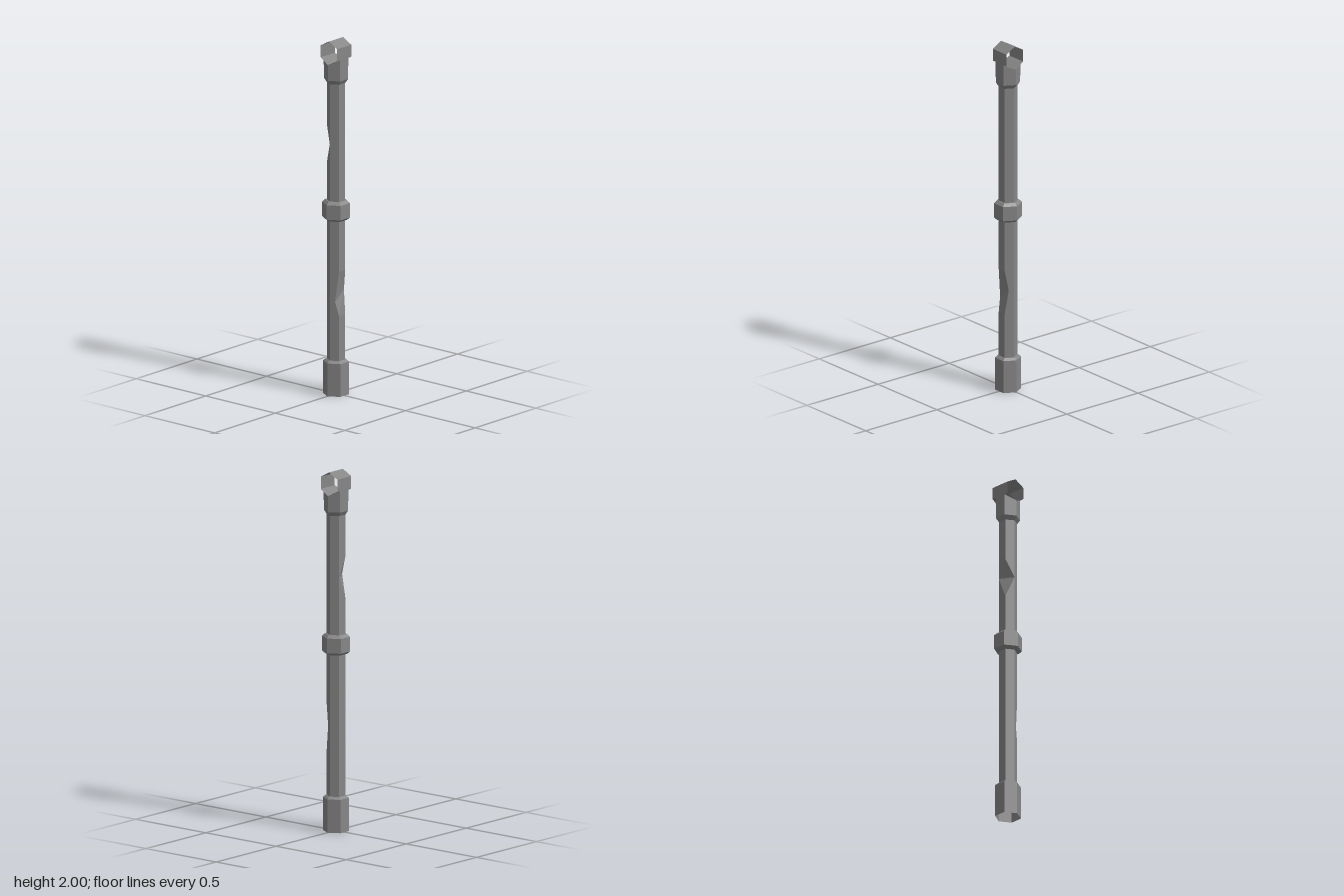
import * as THREE from 'three';

const material = new THREE.MeshStandardMaterial({ color: 0x868686, flatShading: true, side: THREE.DoubleSide });

// Six-sided ring with corners on the x axis
function hexRing(radius, y) {
  return Array.from({ length: 6 }, (_, k) => {
    const a = (k * Math.PI) / 3;
    return new THREE.Vector3(radius * Math.cos(a), y, radius * Math.sin(a));
  });
}

// Skin between successive rings; each quad is split along its outermost diagonal
function loft(rings) {
  const pts = [];
  const midRadius = (p, q) => Math.hypot(p.x + q.x, p.z + q.z);
  for (let i = 0; i + 1 < rings.length; i++) {
    const n = rings[i].length;
    for (let k = 0; k < n; k++) {
      const j = (k + 1) % n;
      const a1 = rings[i][k], b1 = rings[i][j];
      const a2 = rings[i + 1][k], b2 = rings[i + 1][j];
      if (midRadius(b1, a2) > midRadius(a1, b2)) pts.push(b1, a1, a2, b1, a2, b2);
      else pts.push(b1, a1, b2, a1, a2, b2);
    }
  }
  const geometry = new THREE.BufferGeometry().setFromPoints(pts);
  geometry.computeVertexNormals();
  return geometry;
}

const hexLoft = (profile) => loft(profile.map(([r, y]) => hexRing(r, y)));

export function createModel() {
  const model = new THREE.Group();
  const add = (name, geometry) => {
    const mesh = new THREE.Mesh(geometry, material);
    mesh.name = name;
    model.add(mesh);
  };

  // Shaft with a chipped front face and a chipped back corner
  const R = 0.051;
  const frontChip = hexRing(R, 0.56);
  frontChip[1].set(0.0365, 0.585, 0.025);
  frontChip[2].set(-0.0365, 0.53, 0.025);
  const backChip = hexRing(R, 1.418);
  backChip[4].copy(backChip[3]).add(backChip[5]).multiplyScalar(0.5);
  add('shaft', loft([
    hexRing(R, 0.19), hexRing(R, 0.45), frontChip, hexRing(R, 0.7),
    hexRing(R, 1.3), backChip, hexRing(R, 1.523), hexRing(R, 1.77),
  ]));

  // Hollow foot with a bevelled top
  add('foot', hexLoft([[0.072, 0], [0.072, 0.185], [0.056, 0.197], [R, 0.197]]));

  // Bevelled band at mid height
  add('middleBand', hexLoft([
    [R, 0.985], [0.062, 0.985], [0.077, 0.998], [0.077, 1.08], [0.06, 1.095], [R, 1.095],
  ]));

  // Flared collar, its rim dipping at the two side corners
  const rim = hexRing(0.068, 1.9);
  rim[0].y = rim[3].y = 1.87;
  add('collar', loft([hexRing(R, 1.757), hexRing(0.067, 1.78), rim]));

  // Gabled cap, open at both ends, with a valley floor reaching the collar's side corners
  const gable = [[0.059, 1.9], [0.059, 1.968], [0, 2], [-0.059, 1.968], [-0.059, 1.9], [0, 1.87]];
  add('cap', loft([-1, 1].map((side) => gable.map(([z, y]) =>
    new THREE.Vector3(side * (y < 1.9 ? 0.068 : 0.058), y, z)))));

  return model;
}
